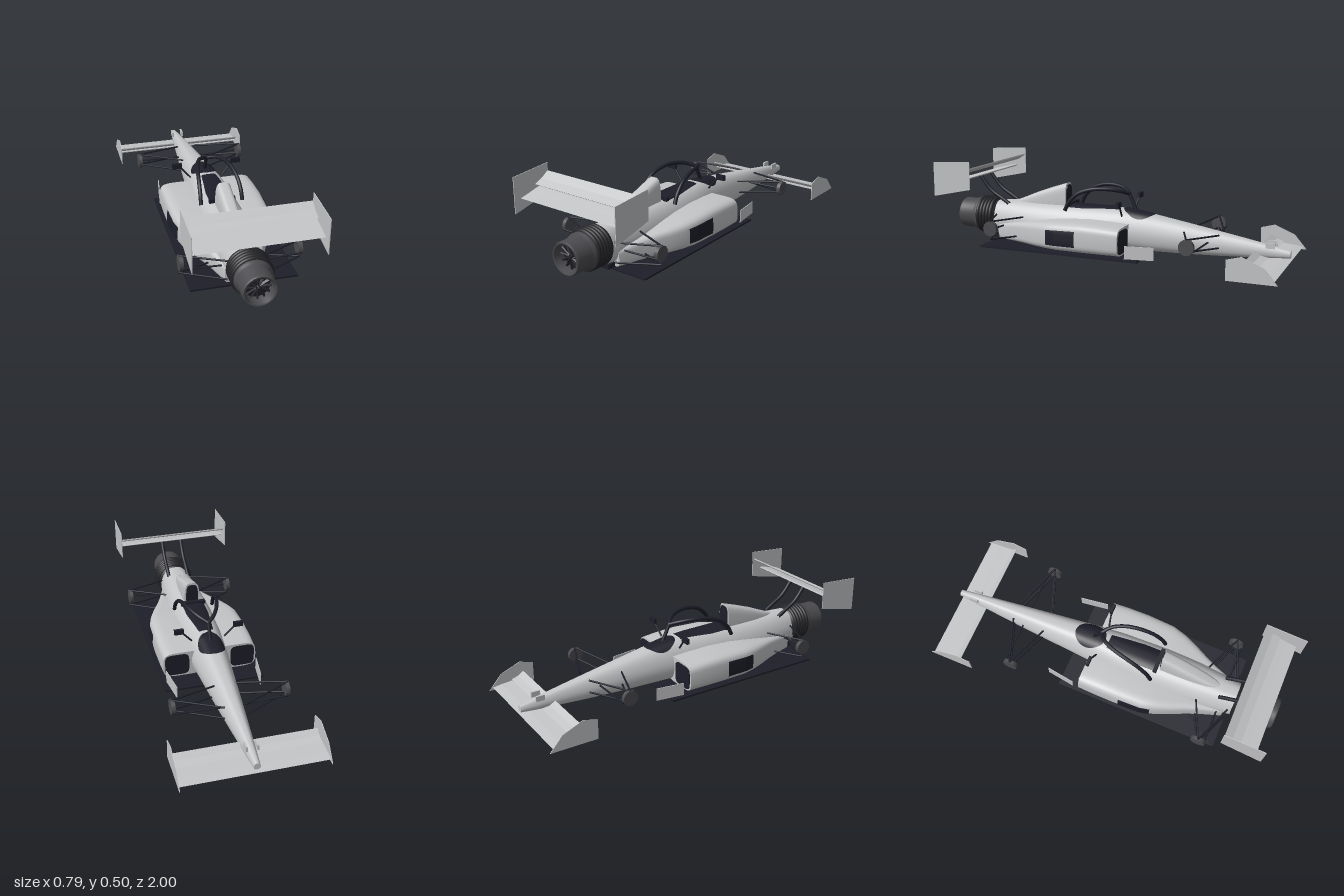
import * as THREE from 'three';

const mat = (name, color, side = THREE.FrontSide) => {
  const m = new THREE.MeshStandardMaterial({ color, side });
  m.name = name;
  return m;
};
const V = (x, y, z) => new THREE.Vector3(x, y, z);

// Section row: [z, centreX, halfWidth, bottom, top]; interpolated along z
function sectionAt(rows, z) {
  let i = 0;
  while (i < rows.length - 2 && z > rows[i + 1][0]) i++;
  const a = rows[i], b = rows[i + 1];
  const f = (z - a[0]) / (b[0] - a[0]);
  return a.map((v, k) => v + (b[k] - v) * f);
}

// Point on a rounded-box section; the upper half narrows by k
function sectionPoint([z, cx, hw, bot, top], t, p, k, off = 0) {
  const c = Math.cos(t), s = Math.sin(t);
  const u = Math.sign(c) * Math.abs(c) ** (2 / p), v = Math.sign(s) * Math.abs(s) ** (2 / p);
  return [cx + hw * u * (1 - k * Math.max(0, v)) + off * c,
    (bot + top) / 2 + ((top - bot) / 2) * v + off * s, z];
}

function gridGeometry(pos, idx) {
  const g = new THREE.BufferGeometry();
  g.setAttribute('position', new THREE.Float32BufferAttribute(pos, 3));
  g.setIndex(idx);
  g.computeVertexNormals();
  return g;
}

// Closed skin through the sections, with flat end caps
function loft(rows, p, k, n = 40) {
  const pos = [], idx = [];
  rows.forEach(r => {
    for (let j = 0; j < n; j++) pos.push(...sectionPoint(r, (j / n) * Math.PI * 2, p, k));
  });
  for (let i = 0; i < rows.length - 1; i++) for (let j = 0; j < n; j++) {
    const a = i * n + j, b = i * n + (j + 1) % n;
    idx.push(a, b, a + n, b, b + n, a + n);
  }
  [rows[0], rows[rows.length - 1]].forEach((r, end) => {
    const c = pos.length / 3;
    pos.push(r[1], (r[3] + r[4]) / 2, r[0]);
    for (let j = 0; j < n; j++) pos.push(...sectionPoint(r, (j / n) * Math.PI * 2, p, k));
    for (let j = 0; j < n; j++) {
      const a = c + 1 + j, b = c + 1 + (j + 1) % n;
      if (end) idx.push(c, a, b); else idx.push(c, b, a);
    }
  });
  return gridGeometry(pos, idx);
}

// Thin painted patch lying on a lofted skin; range(z) gives its angles
function patch(rows, p, k, z0, z1, range, off = 0.004, nz = 20, nt = 14) {
  const pos = [], idx = [];
  for (let i = 0; i <= nz; i++) {
    const z = z0 + ((z1 - z0) * i) / nz, [ta, tb] = range(z);
    for (let j = 0; j <= nt; j++) pos.push(...sectionPoint(sectionAt(rows, z), ta + ((tb - ta) * j) / nt, p, k, off));
  }
  for (let i = 0; i < nz; i++) for (let j = 0; j < nt; j++) {
    const a = i * (nt + 1) + j, d = a + nt + 1;
    idx.push(a, a + 1, d, a + 1, d + 1, d);
  }
  return gridGeometry(pos, idx);
}

// Side outline of (z, y) points, extruded across x
function acrossX(points, width, smooth = false) {
  const v = points.map(q => new THREE.Vector2(...q));
  const shape = new THREE.Shape(smooth ? new THREE.SplineCurve([...v, v[0]]).getPoints(32).slice(0, -1) : v);
  return new THREE.ExtrudeGeometry(shape, { depth: width, bevelEnabled: false })
    .translate(0, 0, -width / 2).rotateY(-Math.PI / 2);
}

function rod(a, b, r) {
  const d = b.clone().sub(a);
  const g = new THREE.CylinderGeometry(r, r, d.length(), 10);
  g.applyQuaternion(new THREE.Quaternion().setFromUnitVectors(V(0, 1, 0), d.normalize()));
  return g.translate((a.x + b.x) / 2, (a.y + b.y) / 2, (a.z + b.z) / 2);
}

const box = (w, h, d, x, y, z) => new THREE.BoxGeometry(w, h, d).translate(x, y, z);

export function createModel() {
  const root = new THREE.Group();
  root.name = 'racingCar';
  const paint = mat('silverPaint', 0xc4c5c7);
  const carbon = mat('darkCarbon', 0x1e1e2a, THREE.DoubleSide);
  const rubber = mat('blackRings', 0x242428);
  const metal = mat('greyMetal', 0x4c4c50, THREE.DoubleSide);
  const add = (name, geo, m) => {
    const mesh = new THREE.Mesh(geo, m);
    mesh.name = name;
    root.add(mesh);
    return mesh;
  };

  // Main body, nose at -z
  const body = [
    [-0.985, 0, 0.018, 0.045, 0.082], [-0.89, 0, 0.028, 0.037, 0.102], [-0.75, 0, 0.042, 0.03, 0.128],
    [-0.6, 0, 0.057, 0.023, 0.154], [-0.4, 0, 0.076, 0.017, 0.188], [-0.2, 0, 0.094, 0.015, 0.221],
    [-0.08, 0, 0.106, 0.015, 0.239], [0.05, 0, 0.119, 0.015, 0.243], [0.3, 0, 0.128, 0.015, 0.243],
    [0.5, 0, 0.12, 0.02, 0.24], [0.65, 0, 0.106, 0.025, 0.238], [0.78, 0, 0.09, 0.035, 0.232]];
  const BP = 2.9, BK = 0.28;
  add('body', loft(body, BP, BK, 48), paint);

  // Cockpit panels on top of the body, given a half-width along z
  const angleForX = (z, x) => {
    let lo = 0, hi = Math.PI / 2;
    for (let i = 0; i < 30; i++) {
      const m = (lo + hi) / 2;
      if (sectionPoint(sectionAt(body, z), m, BP, BK)[0] > x) lo = m; else hi = m;
    }
    return lo;
  };
  const topPatch = (name, z0, z1, halfWidth) => add(name, patch(body, BP, BK, z0, z1, z => {
    const t = angleForX(z, halfWidth(z));
    return [t, Math.PI - t];
  }, 0.004, 28), carbon);
  topPatch('windscreenPanel', -0.225, -0.04, z => 0.07 * Math.sqrt(Math.max(0.0004, 1 - ((z + 0.133) / 0.093) ** 2)));
  topPatch('cockpitOpening', -0.02, 0.29, z => 0.04 + 0.022 * Math.min(1, (z + 0.02) / 0.2));
  add('headrest', box(0.145, 0.022, 0.022, 0, 0.246, 0.285), carbon);

  // Air intake and engine cover
  const cover = [[0.31, 0, 0.046, 0.17, 0.365], [0.4, 0, 0.045, 0.17, 0.336], [0.5, 0, 0.042, 0.17, 0.3],
    [0.58, 0, 0.036, 0.17, 0.266], [0.63, 0, 0.026, 0.17, 0.246], [0.66, 0, 0.01, 0.17, 0.235]];
  add('engineCover', loft(cover, 4, 0.12), paint);
  add('engineIntake', loft([[0.304, 0, 0.036, 0.22, 0.353], [0.312, 0, 0.036, 0.22, 0.353]], 4, 0.12), carbon);

  // Floor and diffuser
  add('floor', box(0.566, 0.01, 0.96, 0, 0.011, 0.26), carbon);
  add('diffuser', box(0.14, 0.026, 0.16, 0, 0.028, 0.69), carbon);

  // Front wing
  add('frontWing', acrossX([[-0.98, 0.015], [-0.93, 0.023], [-0.84, 0.031], [-0.84, 0.026], [-0.93, 0.013]], 0.784), paint);
  add('frontFlap', acrossX([[-0.87, 0.04], [-0.83, 0.052], [-0.8, 0.075], [-0.8, 0.069], [-0.83, 0.044]], 0.764), paint);
  const frontPlate = [[-0.735, 0], [-0.735, 0.108], [-0.815, 0.13], [-0.93, 0.082], [-1, 0]];

  // Rear wing
  add('rearWing', acrossX([[0.96, 0.368], [0.91, 0.379], [0.835, 0.396], [0.83, 0.388], [0.9, 0.366]], 0.665, true), paint);
  add('rearFlap', acrossX([[0.862, 0.416], [0.815, 0.436], [0.772, 0.465], [0.77, 0.458], [0.815, 0.43]], 0.65), paint);
  const rearPlate = [[1, 0.295], [1, 0.49], [0.765, 0.505], [0.765, 0.345]];

  // Parts on both sides
  for (const s of [-1, 1]) {
    const side = s > 0 ? 'left' : 'right';
    const S = (x, y, z) => V(s * x, y, z);
    const pair = (name, geo, m) => add(side + name, geo, m);
    pair('FrontEndPlate', acrossX(frontPlate, 0.004).translate(s * 0.391, 0, 0), paint);
    pair('RearEndPlate', acrossX(rearPlate, 0.004).translate(s * 0.331, 0, 0), paint);
    const strut = new THREE.CatmullRomCurve3([S(0.06, 0.225, 0.67), S(0.06, 0.25, 0.71), S(0.06, 0.3, 0.79), S(0.06, 0.385, 0.86)]);
    pair('WingStrut', new THREE.TubeGeometry(strut, 16, 0.011, 10), carbon);
    pair('NosePeg', box(0.01, 0.03, 0.05, s * 0.03, 0.108, -0.88), paint);

    // Side pod: [z, outer edge, top]
    const pod = [[-0.1, 0.27, 0.172], [0, 0.274, 0.18], [0.12, 0.275, 0.184], [0.28, 0.269, 0.178], [0.36, 0.248, 0.168],
      [0.44, 0.215, 0.156], [0.52, 0.176, 0.143], [0.6, 0.142, 0.13], [0.72, 0.1, 0.11]]
      .map(([z, o, top]) => [z, (s * (o + 0.03)) / 2, (o - 0.03) / 2, 0.018, top]);
    pair('SidePod', loft(pod, 4.5, 0.04), paint);
    const mouth = z => [z, s * 0.19, 0.069, 0.03, 0.16];
    pair('PodIntake', loft([mouth(-0.105), mouth(-0.095)], 5, 0), carbon);
    pair('PodVent', patch(pod, 4.5, 0.04, 0.15, 0.335, () => (s > 0 ? [-0.25, 0.24] : [Math.PI - 0.24, Math.PI + 0.25])), carbon);
    const board = box(0.004, 0.072, 0.163, 0, 0, 0).rotateY(s * 0.14).translate(s * 0.25, 0.054, -0.22);
    pair('BargeBoard', board, paint);

    // Halo arm and mirror
    const halo = new THREE.CatmullRomCurve3([S(0.115, 0.225, 0.28), S(0.113, 0.275, 0.255), S(0.107, 0.325, 0.2),
      S(0.095, 0.352, 0.12), S(0.076, 0.356, 0.04), S(0.045, 0.346, -0.025), S(0, 0.325, -0.07)]);
    pair('HaloArm', new THREE.TubeGeometry(halo, 40, 0.011, 10), carbon);
    pair('MirrorStalk', rod(S(0.095, 0.215, -0.06), S(0.155, 0.285, -0.07), 0.005), carbon);
    pair('Mirror', box(0.054, 0.03, 0.016, s * 0.17, 0.291, -0.07), carbon);

    // Hubs and suspension: [name, z, inner x, forward z, rearward z, link z]
    for (const [end, z, inner, zf, zr, zl] of [['Front', -0.505, 0.055, -0.605, -0.41, -0.545], ['Rear', 0.65, 0.09, 0.55, 0.74, 0.685]]) {
      pair(end + 'Hub', new THREE.CylinderGeometry(0.042, 0.042, 0.022, 28).rotateZ(Math.PI / 2).translate(s * 0.312, 0.128, z), metal);
      const rear = end === 'Rear';
      for (const [yOut, yIn] of [[0.17, rear ? 0.16 : 0.145], [rear ? 0.068 : 0.105, rear ? 0.05 : 0.075]])
        for (const zi of [zf, zr])
          pair(end + 'Arm', rod(S(0.318, yOut, z), S(inner, yIn, zi), 0.005), carbon);
      pair(end + 'Link', rod(S(0.318, 0.11, zl), S(inner - 0.02, 0.1, zl), 0.005), carbon);
      pair(end + 'LinkBracket', rod(S(0.312, 0.11, zl), S(0.312, 0.12, z), 0.007), carbon);
    }
  }
  add('haloPillar', rod(V(0, 0.33, -0.066), V(0, 0.225, -0.115), 0.01), carbon);

  // Rear turbine
  const turbine = new THREE.Group();
  turbine.name = 'turbine';
  turbine.position.y = 0.14;
  root.add(turbine);
  const part = (name, geo, m) => turbine.add(Object.assign(add(name, geo, m), { name }));
  const lathe = pts => new THREE.LatheGeometry(pts.map(q => new THREE.Vector2(...q)), 48).rotateX(Math.PI / 2);
  part('turbineCore', lathe([[0, 0.75], [0.1, 0.76], [0.1, 0.875], [0, 0.88]]), rubber);
  for (let i = 0; i < 5; i++)
    part('coolingRing', new THREE.TorusGeometry(0.1, 0.012, 10, 48).translate(0, 0, 0.78 + i * 0.021), rubber);
  part('nozzle', lathe([[0.1, 0.87], [0.1, 0.895], [0.089, 0.9], [0.089, 0.99], [0.084, 1]]), metal);
  part('nozzleLip', lathe([[0.084, 1], [0.072, 0.998], [0.068, 0.93]]), metal);
  part('fanBack', new THREE.CircleGeometry(0.07, 40).translate(0, 0, 0.94), carbon);
  for (let i = 0; i < 12; i++)
    part('fanBlade', new THREE.BoxGeometry(0.007, 0.058, 0.012).rotateY(0.6).translate(0, 0.04, 0.955).rotateZ((i * Math.PI) / 6), rubber);
  part('fanHub', new THREE.ConeGeometry(0.014, 0.04, 20).rotateX(Math.PI / 2).translate(0, 0, 0.96), rubber);

  return root;
}
